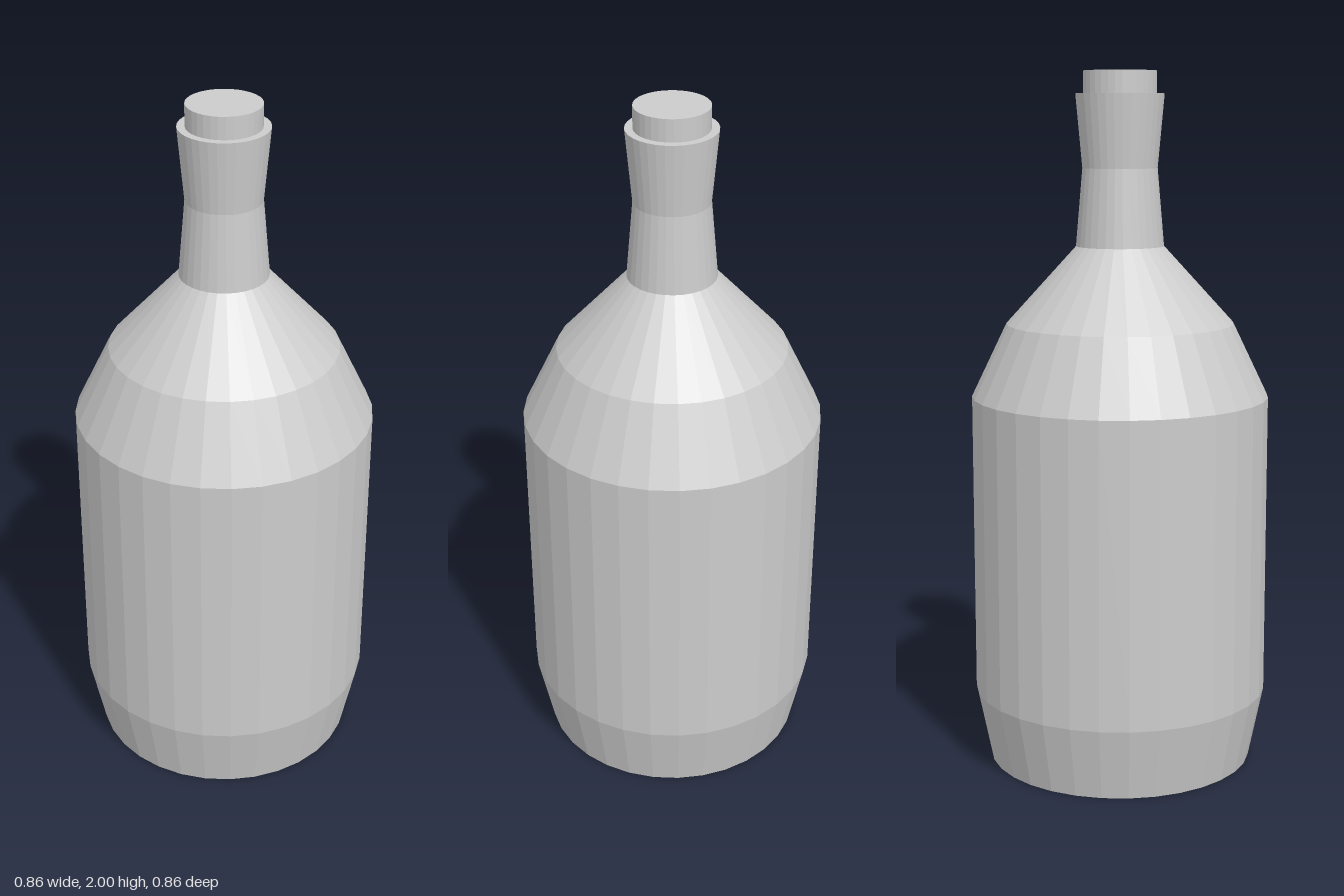
import * as THREE from 'three';

const SIDES = 32;

// Faceted solid of revolution from [radius, height] pairs, listed bottom to top
function turned(name, profile, material) {
  const points = profile.map(([r, y]) => new THREE.Vector2(r, y));
  const mesh = new THREE.Mesh(new THREE.LatheGeometry(points, SIDES), material);
  mesh.name = name;
  return mesh;
}

export function createModel() {
  const group = new THREE.Group();
  group.name = 'bottle';
  const material = new THREE.MeshStandardMaterial({ color: 0xcccccc, flatShading: true });

  // Base, tapered foot, straight wall and two-step shoulder
  group.add(turned('body', [
    [0, 0], [0.385, 0], [0.428, 0.21], [0.428, 1.08], [0.327, 1.29], [0.126, 1.51],
  ], material));

  // Pinched neck with a flat rim
  group.add(turned('neck', [
    [0.126, 1.51], [0.107, 1.73], [0.126, 1.937], [0.1, 1.937],
  ], material));

  // Cork standing out of the neck
  const cork = new THREE.Mesh(new THREE.CylinderGeometry(0.104, 0.104, 0.08, SIDES), material);
  cork.name = 'cork';
  cork.position.y = 1.96;
  group.add(cork);

  return group;
}
